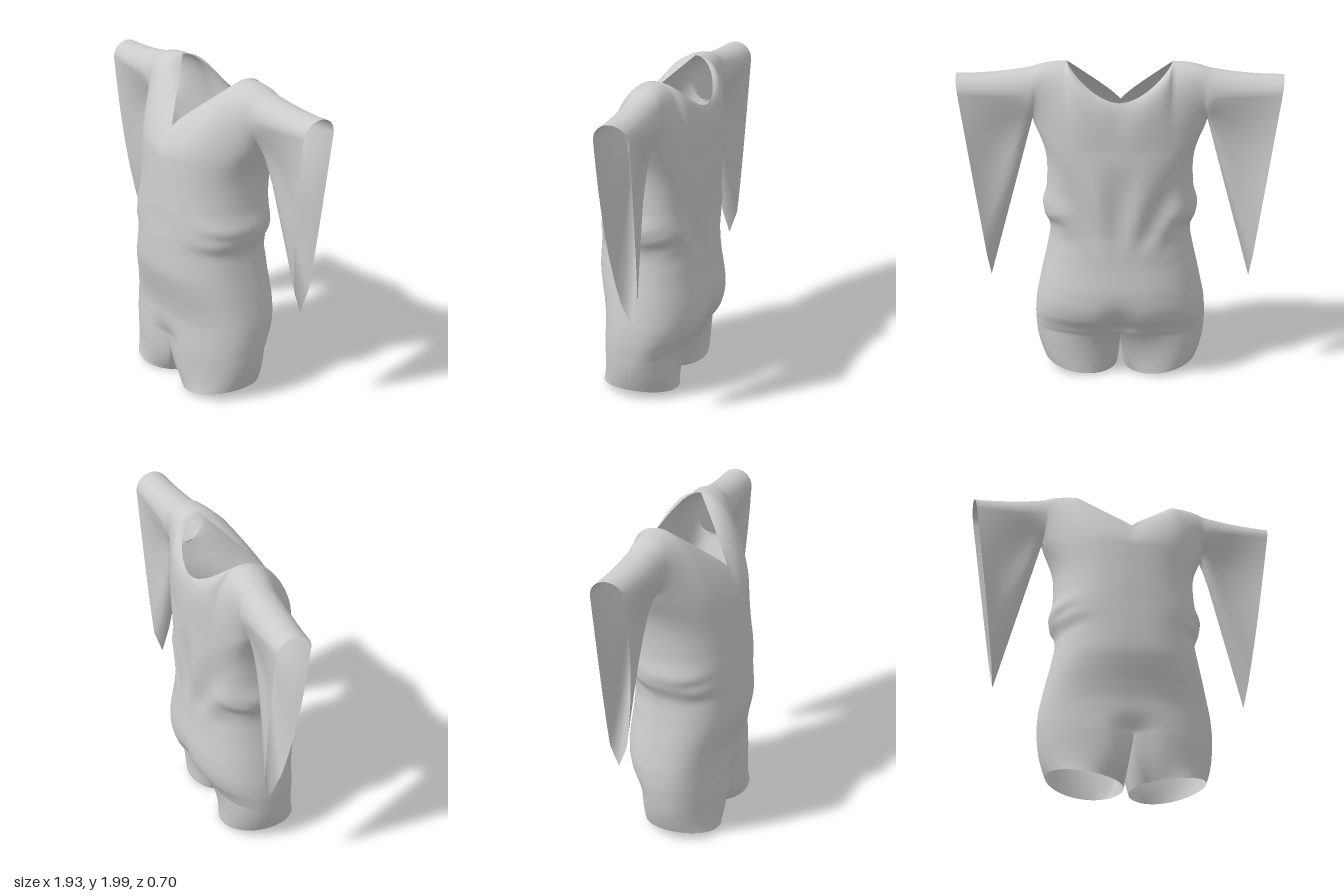
import * as THREE from 'three';

const { lerp, smoothstep } = THREE.MathUtils;
const V = (x, y, z) => new THREE.Vector3(x, y, z);
const HALF_PI = Math.PI / 2;
const COLUMNS = 20, ARM_ROWS = 16;
const NECK = 0.45; // share of the columns that end at the neckline
const bump = (x, width) => Math.exp(-((x / width) ** 2));

// Trunk profile: height, half width, front depth, back depth
const PROFILE = [
  [0.30, 0.527, 0.298, -0.245], [0.36, 0.53, 0.294, -0.28], [0.42, 0.528, 0.291, -0.32],
  [0.50, 0.52, 0.291, -0.344], [0.60, 0.50, 0.308, -0.348], [0.70, 0.478, 0.333, -0.337],
  [0.80, 0.455, 0.35, -0.325], [0.95, 0.43, 0.346, -0.32], [1.05, 0.462, 0.34, -0.325],
  [1.12, 0.472, 0.335, -0.328], [1.22, 0.445, 0.33, -0.33], [1.35, 0.436, 0.32, -0.325],
  [1.50, 0.45, 0.307, -0.315],
];
const heights = new THREE.SplineCurve(PROFILE.map((p, i) => new THREE.Vector2(i, p[0])));
const girths = new THREE.CatmullRomCurve3(PROFILE.map((p) => V(p[1], p[2], p[3])));

// All surfaces below describe the +x half: u runs from the centre to the side,
// v runs upwards, f is +1 for the front and -1 for the back.
function trunk(u, v, f) {
  const girth = girths.getPoint(v), y = heights.getPoint(v).y;
  const s = Math.sin(u * HALF_PI), c = Math.max(0, Math.cos(u * HALF_PI));
  const middle = lerp(0, -0.09, smoothstep(y, 0.9, 1.5));
  const x = girth.x * s ** 0.85;
  let z = middle + ((f > 0 ? girth.y : girth.z) - middle) * (c < 1e-6 ? 0 : c ** 0.85);
  // Gathered folds at the sides of the waist
  z += 0.05 * c * s ** 6 * Math.sin(45 * y + 16 * x) * bump(y - 1.03, 0.1);
  if (f > 0) {
    z -= 0.05 * bump(x, 0.1) * bump(y - 0.28, 0.09);
  } else {
    // Cleft, and folds fanning out from the small of the back
    z += 0.05 * bump(x, 0.08) * bump(y - 0.36, 0.14);
    const span = Math.sin(Math.PI * THREE.MathUtils.clamp((y - 0.8) / 0.7, 0, 1)) ** 2;
    z += 0.017 * c * span * (1 + Math.cos(15 * Math.atan2(x, y - 0.6)));
  }
  // The sides rise and flare to the armpits
  const rise = smoothstep(y, 1.15, 1.5);
  return V(x + 0.07 * rise ** 4 * s ** 10, y + 0.16 * rise * s ** 6, z);
}

// Neckline followed by the shoulder ridge
function topEdge(u, f) {
  if (u >= NECK) {
    const s = (u - NECK) / (1 - NECK);
    return V(lerp(0.31, 0.52, s), 2 - 0.033 * s ** 2.5, lerp(-0.08, -0.09, s));
  }
  const s = u / NECK;
  if (f > 0) return V(0.31 * s, 1.69 + 0.31 * s ** 0.9, 0.22 - 0.3 * s);
  const x = Math.sin(s * HALF_PI);
  return V(0.31 * x, 1.8 + 0.2 * x ** 1.8, -0.08 - 0.2 * Math.cos(s * HALF_PI));
}

// Chest and upper back, curving over to the shoulder and the armhole
function yoke(u, v, f) {
  const low = trunk(u, 1, f), high = topEdge(u, f);
  const length = low.distanceTo(high), side = u ** 8, neck = Math.min(1, u / NECK);
  const armhole = f > 0 ? 0.175 : 0.155;
  const reach = lerp(0.175, armhole, side);
  const c1 = low.clone().add(V(0, 0.33 * length * (1 - side), armhole * f * side));
  const c2 = high.clone().add(V(0, -0.06 * (1 - neck), f * lerp(0.025, reach, neck)));
  return new THREE.CubicBezierCurve3(low, c1, c2, high).getPoint(v);
}

// Opening of the hanging sleeve: round above, tapering to a point below
function cuff(v, f) {
  let y, z;
  if (v < 0.5) {
    const s = v * 2;
    y = lerp(0.67, 1.825, s);
    z = lerp(-0.14, -0.1 + 0.108 * f, s ** (f > 0 ? 0.5 : 0.2));
    if (f > 0) z += 0.02 * Math.sin(Math.PI * s);
  } else {
    const a = (v - 0.5) * Math.PI;
    y = 1.825 + 0.105 * Math.sin(a);
    z = -0.1 + 0.108 * f * Math.cos(a);
  }
  return V(lerp(0.79, 0.965, (y - 0.67) / 1.26), y, z);
}

// Sleeve: the cloth below the arm is drawn in between armhole and opening
function sleeve(u, v, f) {
  const p = yoke(1, v, f).lerp(cuff(v, f), u);
  const between = 4 * u * (1 - u);
  p.y -= 0.012 * between * v;
  p.z = lerp(p.z, -0.1, 0.5 * between * Math.sin(Math.PI * Math.min(1, v / 0.55)) ** 2);
  return p;
}

// Leg hem, by angle from the inner thigh (-90 degrees) to the outer (90)
function hem(angle, f) {
  const x = 0.25 + 0.23 * Math.sin(angle);
  return V(x, 0.005 + 0.065 * (x / 0.48) ** 2, 0.037 + (f > 0 ? 0.242 : -0.235) * Math.cos(angle));
}
function legWall(low, high, v, f) {
  const depth = f > 0 ? 1 - (1 - v) ** 3 : v ** 2.5;
  return V(lerp(low.x, high.x, 1 - (1 - v) ** 2), lerp(low.y, high.y, v), lerp(low.z, high.z, depth));
}
const SPLIT = -0.75;
const outerLeg = (u, v, f) => legWall(hem(lerp(SPLIT, HALF_PI, u), f), trunk(u, 0, f), v, f);
function innerLeg(u, v, f) {
  const end = trunk(0, 0, f);
  const crotch = V(0, lerp(0.22, end.y, u * u), lerp(0.02, end.z, u));
  return legWall(hem(lerp(-HALF_PI, SPLIT, u), f), crotch, v, f);
}

export function createModel() {
  // Points are shared between the parts so that shading runs across the seams
  const positions = [], lookup = new Map(), parts = {};
  function vertex(p) {
    const key = [p.x, p.y, p.z].map((n) => Math.round(n * 1e4)).join();
    if (!lookup.has(key)) {
      lookup.set(key, positions.length / 3);
      positions.push(p.x, p.y, p.z);
    }
    return lookup.get(key);
  }
  // Adds the front and back of a surface on one half of the model
  function addPatch(name, surface, nu, nv, mirror) {
    const index = (parts[name] ??= []);
    for (const f of [1, -1]) {
      const grid = [];
      for (let i = 0; i <= nu; i++) {
        grid.push([]);
        for (let j = 0; j <= nv; j++) {
          const p = surface(i / nu, j / nv, f);
          p.x *= mirror;
          grid[i].push(vertex(p));
        }
      }
      for (let i = 0; i < nu; i++) {
        for (let j = 0; j < nv; j++) {
          const a = grid[i][j], b = grid[i + 1][j], c = grid[i + 1][j + 1], d = grid[i][j + 1];
          if (f * mirror > 0) index.push(a, b, c, a, c, d);
          else index.push(a, c, b, a, d, c);
        }
      }
    }
  }

  for (const m of [1, -1]) {
    const side = m > 0 ? 'left' : 'right';
    addPatch('trunk', trunk, COLUMNS, 60, m);
    addPatch('yoke', yoke, COLUMNS, ARM_ROWS, m);
    addPatch(side + 'Sleeve', sleeve, 16, ARM_ROWS, m);
    addPatch(side + 'Leg', outerLeg, COLUMNS, 12, m);
    addPatch(side + 'Leg', innerLeg, 10, 12, m);
  }

  const whole = new THREE.BufferGeometry();
  whole.setAttribute('position', new THREE.Float32BufferAttribute(positions, 3));
  whole.setIndex(Object.values(parts).flat());
  whole.computeVertexNormals();

  const cloth = new THREE.MeshStandardMaterial({ color: 0xcccccc, side: THREE.DoubleSide });
  const group = new THREE.Group();
  group.name = 'tunic';
  for (const [name, index] of Object.entries(parts)) {
    whole.setIndex(index);
    const mesh = new THREE.Mesh(whole.toNonIndexed(), cloth);
    mesh.name = name;
    group.add(mesh);
  }
  return group;
}
